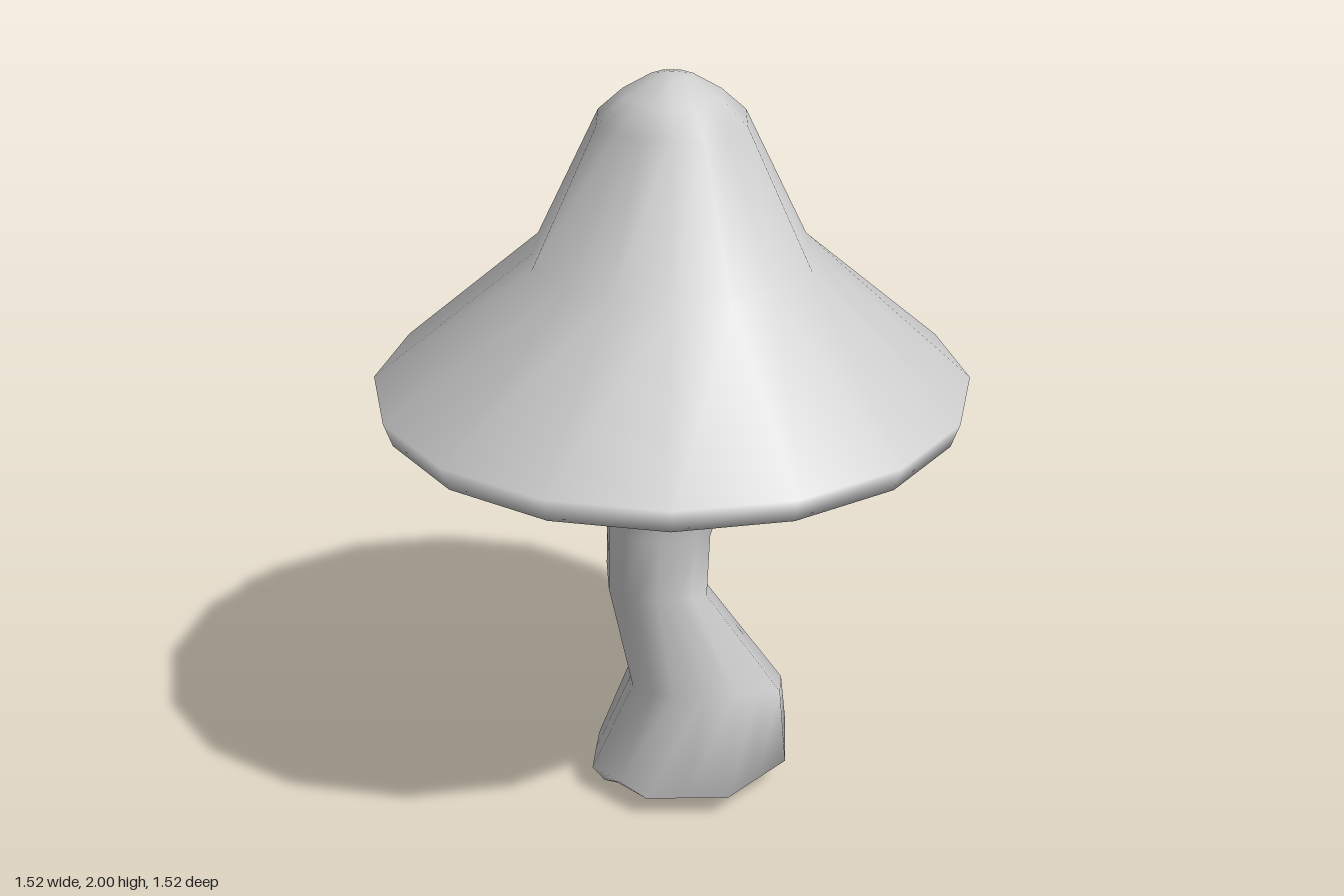
import * as THREE from 'three';

const SIDES = 16;

// Cross-section: left x,y / right x,y / front z, back z, and y at front and back.
// facets 8 flattens every second corner onto an octagon.
const ring = (xl, yl, xr, yr, zf, zb, yz, facets = 8) => ({ xl, yl, xr, yr, zf, zb, yz, facets });
const round = (r, y, facets) => ring(-r, y, r, y, r, r, y, facets);

function ringPoint(s, j) {
  const a = (j / SIDES) * Math.PI * 2;
  const k = s.facets === 8 && j % 2 ? Math.cos(Math.PI / 8) : 1;
  const c = Math.cos(a) * k, n = Math.sin(a) * k;
  const ym = (s.yl + s.yr) / 2;
  return [
    (s.xl + s.xr) / 2 + (c * (s.xr - s.xl)) / 2,
    ym + (c * (s.yr - s.yl)) / 2 + (s.yz - ym) * n * n,
    n > 0 ? n * s.zf : n * s.zb,
  ];
}

export function createModel() {
  // Crooked stem, from the foot up to its flare under the cap
  const stemRings = [
    ring(-0.2, 0.025, 0.19, 0.005, 0.07, 0.07, 0.02),
    ring(-0.235, 0.075, 0.345, 0.1, 0.26, 0.245, 0.063),
    ring(-0.115, 0.31, 0.33, 0.235, 0.185, 0.205, 0.33),
    ring(-0.18, 0.62, 0.1, 0.58, 0.14, 0.175, 0.63),
    ring(-0.177, 0.8, 0.105, 0.77, 0.152, 0.17, 0.8),
    ring(-0.175, 0.97, 0.17, 0.98, 0.165, 0.165, 0.95),
    ring(-0.24, 1.045, 0.28, 1.06, 0.22, 0.22, 1.03),
  ];
  // Cap: underside, rim, flared skirt and rounded crown
  const capRings = [
    round(0.43, 1.1),
    round(0.74, 1.137, 16),
    round(0.762, 1.2, 16),
    round(0.37, 1.54),
    round(0.197, 1.885),
    round(0.13, 1.945),
    round(0.055, 1.99),
  ];

  const rings = [...stemRings, ...capRings];
  const positions = rings.flatMap((s) => {
    const pts = [];
    for (let j = 0; j < SIDES; j++) pts.push(...ringPoint(s, j));
    return pts;
  });
  const foot = rings.length * SIDES, tip = foot + 1;
  positions.push(0, 0.012, 0, 0, 2, 0);

  // Quads between consecutive rings
  const band = (from, to) => {
    const index = [];
    for (let i = from; i < to; i++) {
      for (let j = 0; j < SIDES; j++) {
        const a = i * SIDES + j, b = i * SIDES + ((j + 1) % SIDES);
        index.push(a, a + SIDES, b, b, a + SIDES, b + SIDES);
      }
    }
    return index;
  };
  // Fan closing an end
  const fan = (row, pole, up) => {
    const index = [];
    for (let j = 0; j < SIDES; j++) {
      const a = row * SIDES + j, b = row * SIDES + ((j + 1) % SIDES);
      index.push(...(up ? [a, pole, b] : [a, b, pole]));
    }
    return index;
  };

  const join = stemRings.length - 1, last = rings.length - 1;
  const stemIndex = [...fan(0, foot, false), ...band(0, join)];
  const capIndex = [...band(join, last), ...fan(last, tip, true)];

  // Normals are shared so the stem flows smoothly into the cap
  const whole = new THREE.BufferGeometry();
  whole.setAttribute('position', new THREE.Float32BufferAttribute(positions, 3));
  whole.setIndex([...stemIndex, ...capIndex]);
  whole.computeVertexNormals();

  const material = new THREE.MeshStandardMaterial({ color: 0xcccccc });
  const group = new THREE.Group();
  group.name = 'mushroom';
  for (const [name, index] of [['stem', stemIndex], ['cap', capIndex]]) {
    const part = whole.clone();
    part.setIndex(index);
    const mesh = new THREE.Mesh(part.toNonIndexed(), material);
    mesh.name = name;
    group.add(mesh);
  }
  return group;
}
